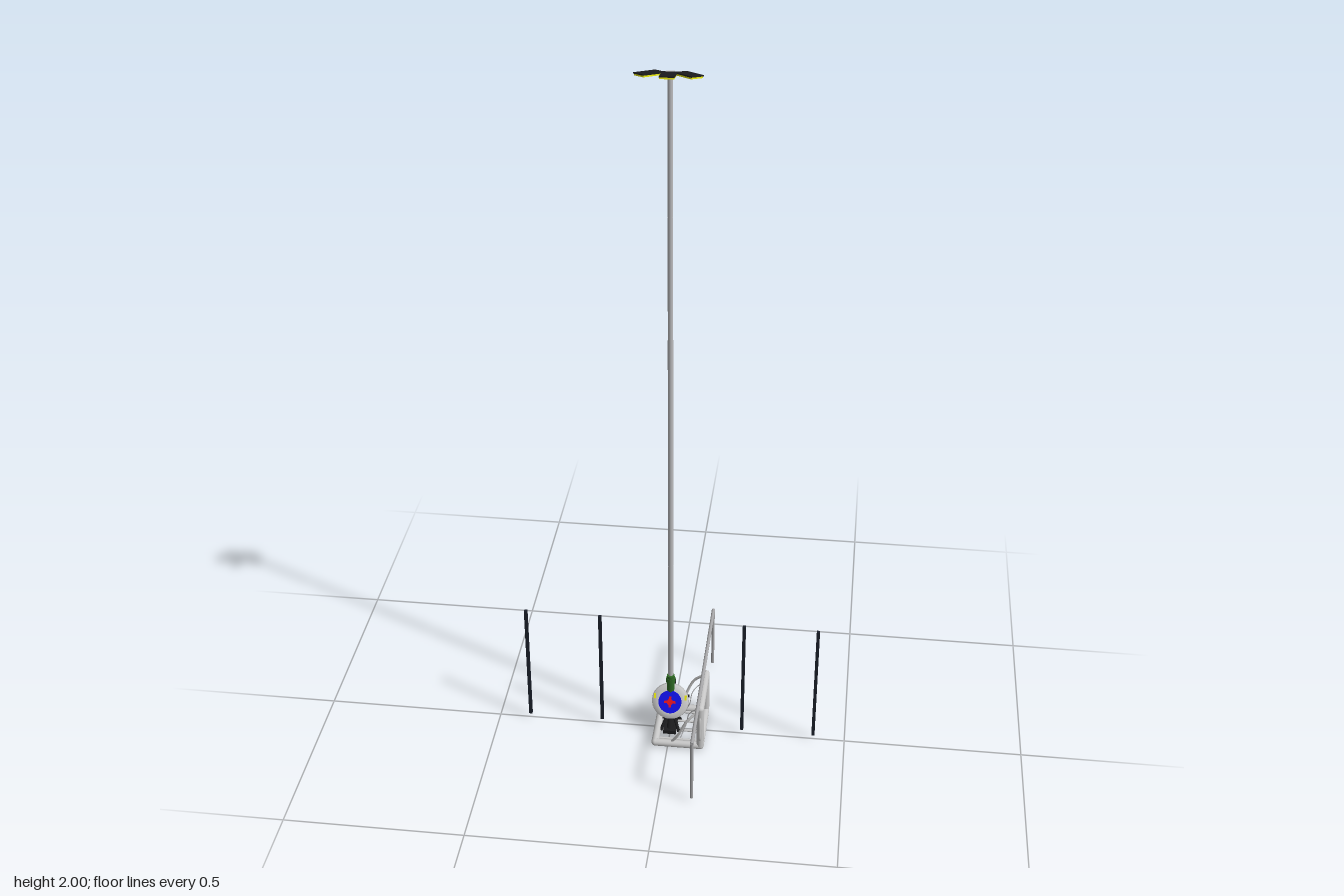
import * as THREE from 'three';

const mat = (name, color) => Object.assign(new THREE.MeshStandardMaterial({ color }), { name });

export function createModel() {
  const root = new THREE.Group();
  const M = {
    grey: mat('light grey', 0xc8c8c8),
    mast: mat('mast grey', 0xbcbcbe),
    steel: mat('steel', 0xa6a6a8),
    black: mat('black', 0x1c1c1e),
    navy: mat('dark post', 0x1a1f2a),
    green: mat('green', 0x2f6a24),
    yellow: mat('yellow', 0xe8e810),
    blue: mat('blue', 0x1414ff),
    red: mat('red', 0xf01420),
  };
  const V = (p) => new THREE.Vector3(...p);

  const add = (name, geo, material, pos = [0, 0, 0], parent = root) => {
    const m = new THREE.Mesh(geo, material);
    m.name = name;
    m.position.set(...pos);
    parent.add(m);
    return m;
  };
  const box = (name, size, pos, material, parent) => add(name, new THREE.BoxGeometry(...size), material, pos, parent);
  // round bar between two points
  const bar = (name, a, b, r, material, parent = root) => {
    const A = V(a), B = V(b), d = B.clone().sub(A);
    const m = add(name, new THREE.CylinderGeometry(r, r, d.length(), 14), material, A.clone().lerp(B, 0.5).toArray(), parent);
    m.quaternion.setFromUnitVectors(new THREE.Vector3(0, 1, 0), d.normalize());
    return m;
  };
  const tube = (name, pts, r, material) =>
    add(name, new THREE.TubeGeometry(new THREE.CatmullRomCurve3(pts.map(V)), 40, r, 8), material);
  const ball = (name, p, r, material) => add(name, new THREE.SphereGeometry(r, 14, 10), material, p);

  // four slim marker posts
  for (const x of [-0.41, -0.2, 0.205, 0.41]) box('markerPost', [0.009, 0.37, 0.009], [x, 0.203, 0], M.navy);

  // wide side hoop
  bar('hoopRail', [0.092, 0.21, -0.3], [0.092, 0.21, 0.3], 0.005, M.steel);
  for (const z of [-0.296, 0.296]) bar('hoopLeg', [0.092, 0.015, z], [0.092, 0.21, z], 0.0045, M.steel);

  // L-shaped cage: floor frame and upright frame
  const zc = 0.079, xa = -0.036, xb = 0.093, yb = 0.013, yt = 0.146, r = 0.0105;
  for (const s of [-1, 1]) {
    const z = s * zc;
    bar('floorSideBar', [xa, yb, z], [xb, yb, z], r, M.grey);
    bar('uprightBar', [xb, yb, z], [xb, yt, z], r, M.grey);
    for (const p of [[xa, yb, z], [xb, yb, z], [xb, yt, z]]) ball('cageCorner', p, r, M.grey);
    // rounded outer grip and bowed brace on each side
    tube('outerGrip', [[xb, 0.03, z], [xb, 0.045, s * 0.088], [xb, 0.08, s * 0.09], [xb, 0.115, s * 0.088], [xb, 0.13, z]], 0.004, M.grey);
    tube('bowedBrace', [[0.012, 0.02, z], [0.03, 0.05, s * 0.086], [0.058, 0.11, s * 0.09], [xb, 0.143, z]], 0.004, M.grey);
    for (const d of [0.02, 0.06]) bar('floorSlat', [xa, yb, s * d], [xb, yb, s * d], 0.0035, M.grey);
    tube('innerStrap', [[0.035, 0.02, s * 0.06], [0.05, 0.06, s * 0.045], [0.058, 0.1, s * 0.05], [xb, 0.14, s * 0.06]], 0.0012, M.steel);
  }
  bar('floorFrontBar', [xa, yb, -zc], [xa, yb, zc], r, M.grey);
  bar('floorRearBar', [xb, yb, -zc], [xb, yb, zc], r, M.grey);
  bar('uprightTopBar', [xb, yt, -zc], [xb, yt, zc], r, M.grey);

  // black stand carrying the disc
  box('standFoot', [0.036, 0.012, 0.07], [0, 0.014, 0], M.black);
  bar('standArm', [0, 0.015, 0.02], [0, 0.13, -0.045], 0.009, M.black);
  box('standHead', [0.016, 0.02, 0.04], [0, 0.13, -0.035], M.black);
  bar('crossHandle', [-0.052, 0.1, -0.029], [0.05, 0.1, -0.029], 0.004, M.black);
  for (const s of [-1, 1]) {
    bar('standStrut', [s * 0.026, 0.012, 0.026], [0, 0.075, -0.01], 0.0045, M.black);
    bar('standStrut', [s * 0.026, 0.012, -0.026], [0, 0.07, -0.01], 0.0045, M.black);
  }

  // tilted round disc with coloured face
  const disc = new THREE.Group();
  disc.name = 'targetDisc';
  disc.position.set(0, 0.112, 0.012);
  disc.rotation.x = -0.42;
  root.add(disc);
  const shell = add('discShell', new THREE.LatheGeometry(
    [[0, -0.02], [0.025, -0.018], [0.045, -0.011], [0.053, 0], [0.051, 0.007], [0.036, 0.01], [0, 0.01]]
      .map(([a, b]) => new THREE.Vector2(a, b)), 36), M.grey, [0, 0, 0], disc);
  shell.rotation.x = Math.PI / 2;
  const dot = (name, rad, z, material) => {
    add(name, new THREE.CylinderGeometry(rad, rad, 0.006, 32), material, [0, 0, z], disc).rotation.x = Math.PI / 2;
  };
  dot('blueFace', 0.033, 0.011, M.blue);
  // red cross and centre
  dot('redCentre', 0.009, 0.0135, M.red);
  for (const a of [0, Math.PI / 2]) box('redCross', [0.032, 0.007, 0.004], [0, 0, 0.0135], M.red, disc).rotation.z = a;
  for (const s of [-1, 1]) box('yellowTab', [0.006, 0.014, 0.004], [s * 0.044, 0.014, 0.009], M.yellow, disc);

  // green mast holder
  bar('mastHolder', [0, 0.13, 0.002], [0, 0.2, 0.004], 0.011, M.green);
  bar('holderCollar', [0, 0.175, 0.003], [0, 0.19, 0.003], 0.013, M.green);

  // telescopic mast, leaning slightly forward
  const joints = [[0.15, 0.001], [0.58, 0.004], [1.28, 0.008], [1.62, 0.011], [1.983, 0.016]];
  for (let i = 0; i < 4; i++) {
    const [y0, z0] = joints[i], [y1, z1] = joints[i + 1];
    bar('mastSection', [0, y0, z0], [0, y1, z1], 0.0074 - i * 0.0003, M.mast);
  }

  // three lamp panels: black housings with yellow undersides
  const head = new THREE.Group();
  head.name = 'lampHead';
  head.position.set(0, 1.984, 0.015);
  head.rotation.x = -0.18;
  root.add(head);
  box('lampHub', [0.02, 0.005, 0.02], [0, 0.002, 0], M.grey, head);
  for (const [a, x, z] of [[0, 0, 0.036], [-0.75, -0.046, 0.021], [0.75, 0.046, 0.021]]) {
    const lamp = new THREE.Group();
    lamp.name = 'lampPanel';
    lamp.position.set(x, 0.002, z);
    lamp.rotation.y = a;
    head.add(lamp);
    box('lampHousing', [0.036, 0.003, 0.066], [0, 0.001, 0], M.black, lamp);
    box('lampLens', [0.034, 0.004, 0.063], [0, -0.0025, 0], M.yellow, lamp);
  }
  for (const s of [-1, 1]) bar('lampBracket', [0, 0, 0], [s * 0.034, 0, 0.012], 0.003, M.grey, head);
  return root;
}
